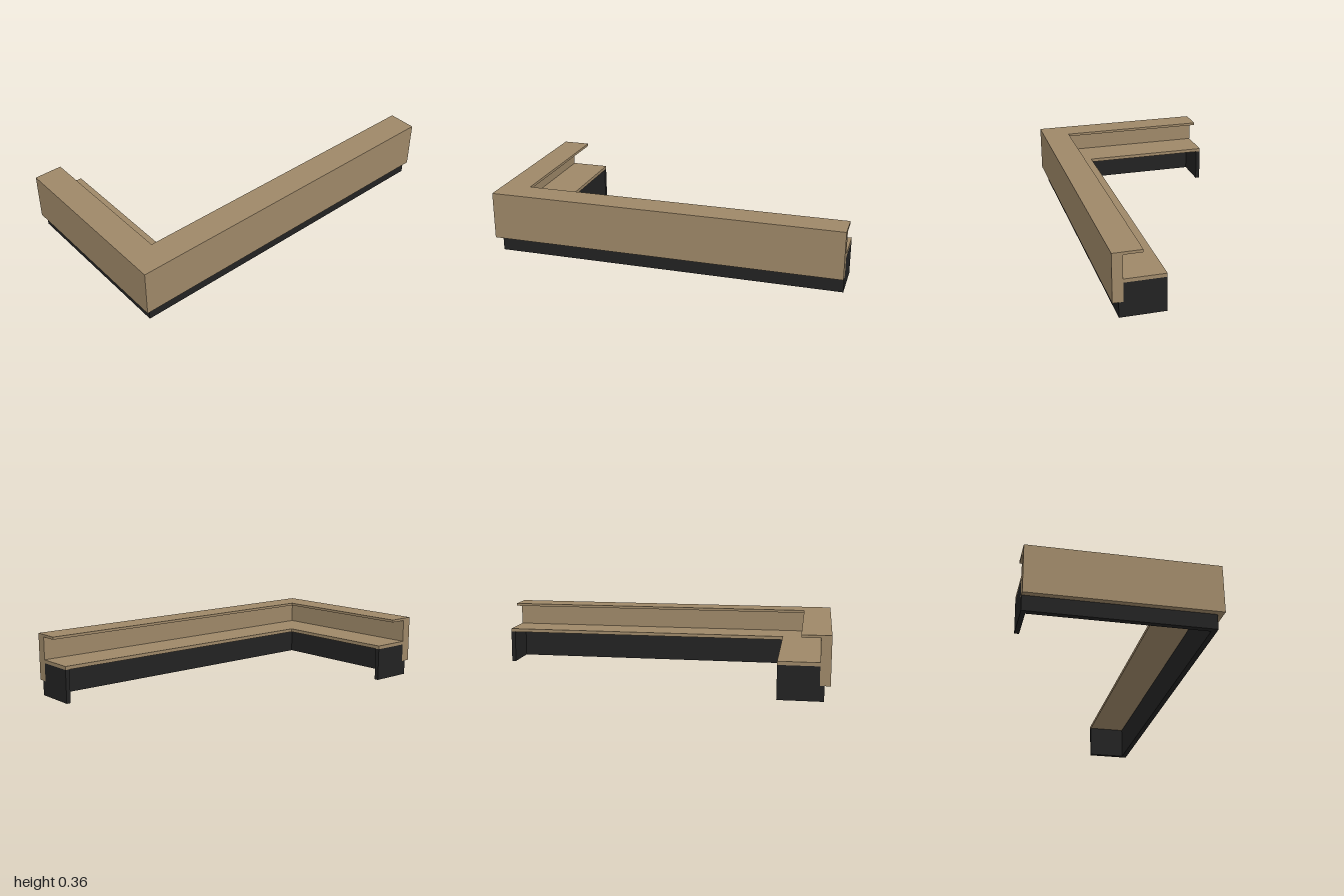
import * as THREE from 'three';

const wood = new THREE.MeshStandardMaterial({ color: 0x9e8868 });
wood.name = 'light wood';
const plinth = new THREE.MeshStandardMaterial({ color: 0x222222 });
plinth.name = 'black plinth';

// Footprint: long wing along x, short wing along z, meeting at the outer corner
const CORNER_X = -1, CORNER_Z = 0.517, END_X = 1, END_Z = -0.517;

// L-shaped band between two inward offsets from the outer faces, from y0 to y1
function band(name, d0, d1, y0, y1, material) {
  const ox = CORNER_X + d0, oz = CORNER_Z - d0;
  const ix = CORNER_X + d1, iz = CORNER_Z - d1;
  const shape = new THREE.Shape([
    [ox, -oz], [END_X, -oz], [END_X, -iz], [ix, -iz], [ix, -END_Z], [ox, -END_Z],
  ].map(([x, y]) => new THREE.Vector2(x, y)));
  const geometry = new THREE.ExtrudeGeometry(shape, { depth: y1 - y0, bevelEnabled: false });
  geometry.rotateX(-Math.PI / 2).translate(0, y0, 0);
  const mesh = new THREE.Mesh(geometry, material);
  mesh.name = name;
  return mesh;
}

// Box given by its minimum and maximum corners
function box(name, min, max, material) {
  const size = max.map((v, i) => v - min[i]);
  const mesh = new THREE.Mesh(new THREE.BoxGeometry(...size), material);
  mesh.position.set(...max.map((v, i) => (v + min[i]) / 2));
  mesh.name = name;
  return mesh;
}

export function createModel() {
  const counter = new THREE.Group();
  counter.name = 'cornerCounter';

  const panel = 0.057, baseInner = 0.062, deskInner = 0.282;
  const deskBottom = 0.19, panelBottom = 0.085, t = 0.025;

  counter.add(
    // Upper wooden part
    band('frontPanel', 0, panel, panelBottom, 0.355, wood),
    band('counterTop', panel, 0.16, 0.34, 0.355, wood),
    band('deskTop', panel, deskInner, deskBottom, 0.21, wood),
    // Recessed base, open towards the inside
    band('baseKick', 0.032, baseInner, 0, panelBottom, plinth),
    band('baseBack', panel, baseInner, panelBottom, deskBottom, plinth),
    // End panels carrying the desk
    box('longWingEndPanel',
      [END_X - t, 0, CORNER_Z - deskInner], [END_X, deskBottom, CORNER_Z - baseInner], plinth),
    box('shortWingEndPanel',
      [CORNER_X + baseInner, 0, END_Z], [CORNER_X + deskInner, deskBottom, END_Z + t], plinth),
  );
  return counter;
}
